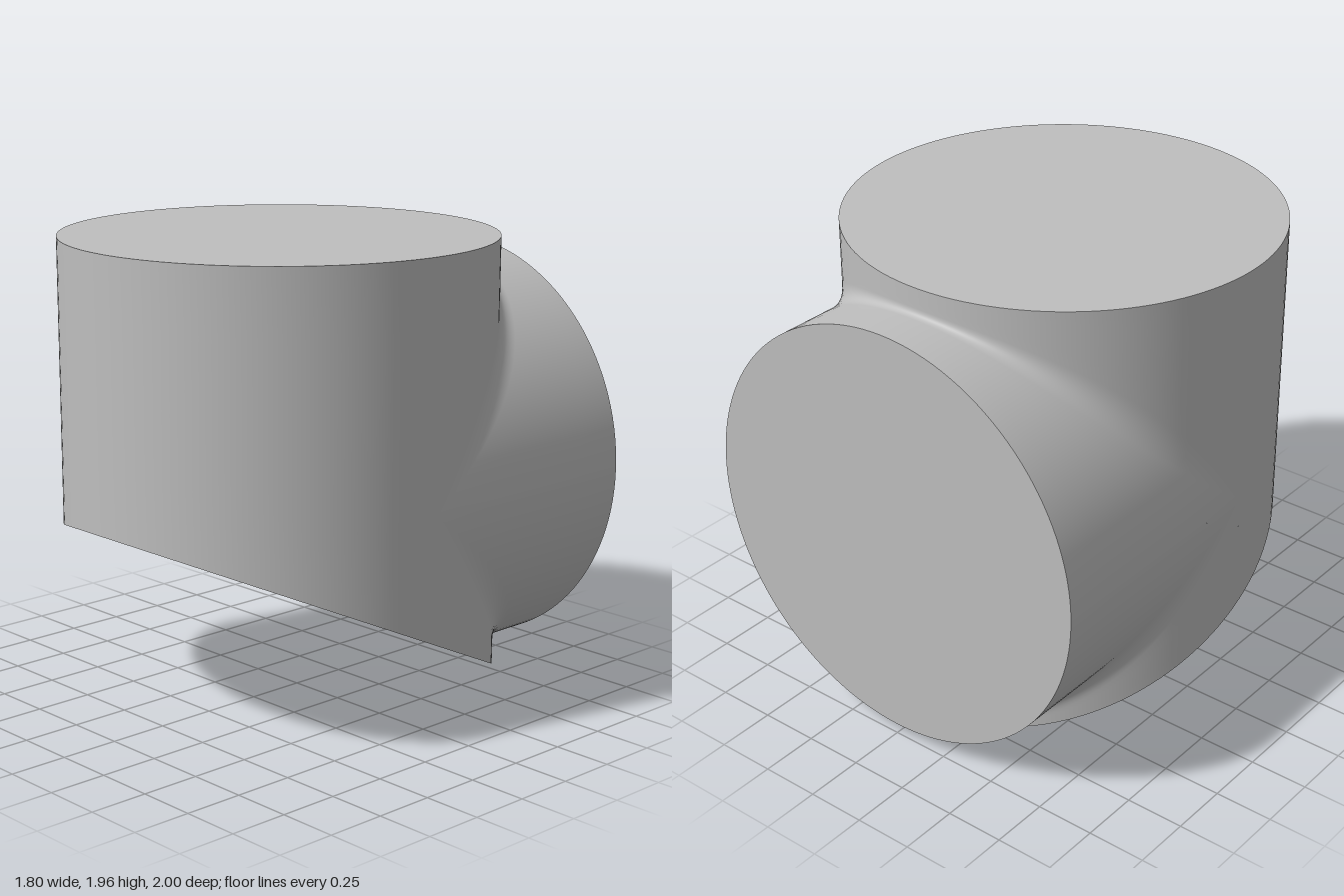
import * as THREE from 'three';
import { mergeVertices } from 'three/addons/utils/BufferGeometryUtils.js';

const R = 0.9;          // both cylinders share one radius
const CZ = 0.1;         // axis of the upright cylinder
const CY = 0.945;       // axis of the rear branch
const TOP = 1.96, BACK = -1;
const HALF = 64;        // facets per half turn
const slantY = (z) => 0.84 * (z + 0.8) / 1.8;

// Smooth surface through rows of points; row(u) returns a list of [x, y, z]
function loft(row, count) {
  const pos = [], index = [];
  let n = 0;
  for (let i = 0; i <= count; i++) {
    const pts = row(i / count);
    n = pts.length;
    pts.forEach((p) => pos.push(...p));
  }
  for (let i = 0; i < count; i++) {
    for (let j = 0; j < n - 1; j++) {
      const a = i * n + j, b = a + n;
      index.push(a, b, a + 1, b, b + 1, a + 1);
    }
  }
  const g = new THREE.BufferGeometry();
  g.setAttribute('position', new THREE.Float32BufferAttribute(pos, 3));
  g.setIndex(index);
  const merged = mergeVertices(g, 1e-5);
  merged.computeVertexNormals();
  return merged;
}

// One line along the branch, round the fillet and along the upright wall
function branchRow(angle) {
  const s = Math.abs(Math.sin(angle));
  const dir = angle <= Math.PI ? 1 : -1;
  const x = R * Math.cos(angle), y = CY + dir * R * s, z = CZ - R * s;
  const d = 0.03 * s + 0.35 * s * (1 - s);   // fillet widens towards the sides
  const end = dir > 0 ? TOP : slantY(z);
  const pts = [];
  for (let k = 0; k < 4; k++) pts.push([x, y, THREE.MathUtils.lerp(BACK, z - d, k / 4)]);
  for (let k = 0; k <= 10; k++) {
    const t = k / 10;
    pts.push([x, y + dir * d * t * t, z - d * (1 - t) * (1 - t)]);
  }
  for (let k = 1; k <= 4; k++) pts.push([x, THREE.MathUtils.lerp(y + dir * d, end, k / 4), z]);
  return pts;
}

// One upright line of the front wall, from the rim to the slanted base
function frontRow(angle) {
  const x = R * Math.cos(angle), z = CZ + R * Math.sin(angle);
  return [0, 0.25, 0.5, 0.75, 1].map((t) => [x, THREE.MathUtils.lerp(TOP, slantY(z), t), z]);
}

export function createModel() {
  const group = new THREE.Group();
  const grey = new THREE.MeshStandardMaterial({ color: 0xbebebe });
  grey.name = 'plain grey';
  const add = (name, geometry) => {
    const mesh = new THREE.Mesh(geometry, grey);
    mesh.name = name;
    group.add(mesh);
  };

  // Walls
  add('frontWall', loft((u) => frontRow(u * Math.PI), HALF));
  add('upperBranchBlend', loft((u) => branchRow(u * Math.PI), HALF));
  add('lowerBranchBlend', loft((u) => branchRow(Math.PI + Math.max(u, 1e-6) * Math.PI), HALF));

  // Flat end caps
  const disc = () => new THREE.CircleGeometry(R, HALF * 2);
  add('topCap', disc().rotateX(-Math.PI / 2).translate(0, TOP, CZ));
  add('branchCap', disc().rotateY(Math.PI).translate(0, CY, BACK));

  // Slanted base: a downward disc sheared onto the cutting plane
  const base = disc().rotateX(Math.PI / 2).translate(0, 0, CZ);
  const p = base.attributes.position;
  for (let i = 0; i < p.count; i++) p.setY(i, slantY(p.getZ(i)));
  base.computeVertexNormals();
  add('slantedBase', base);

  return group;
}
